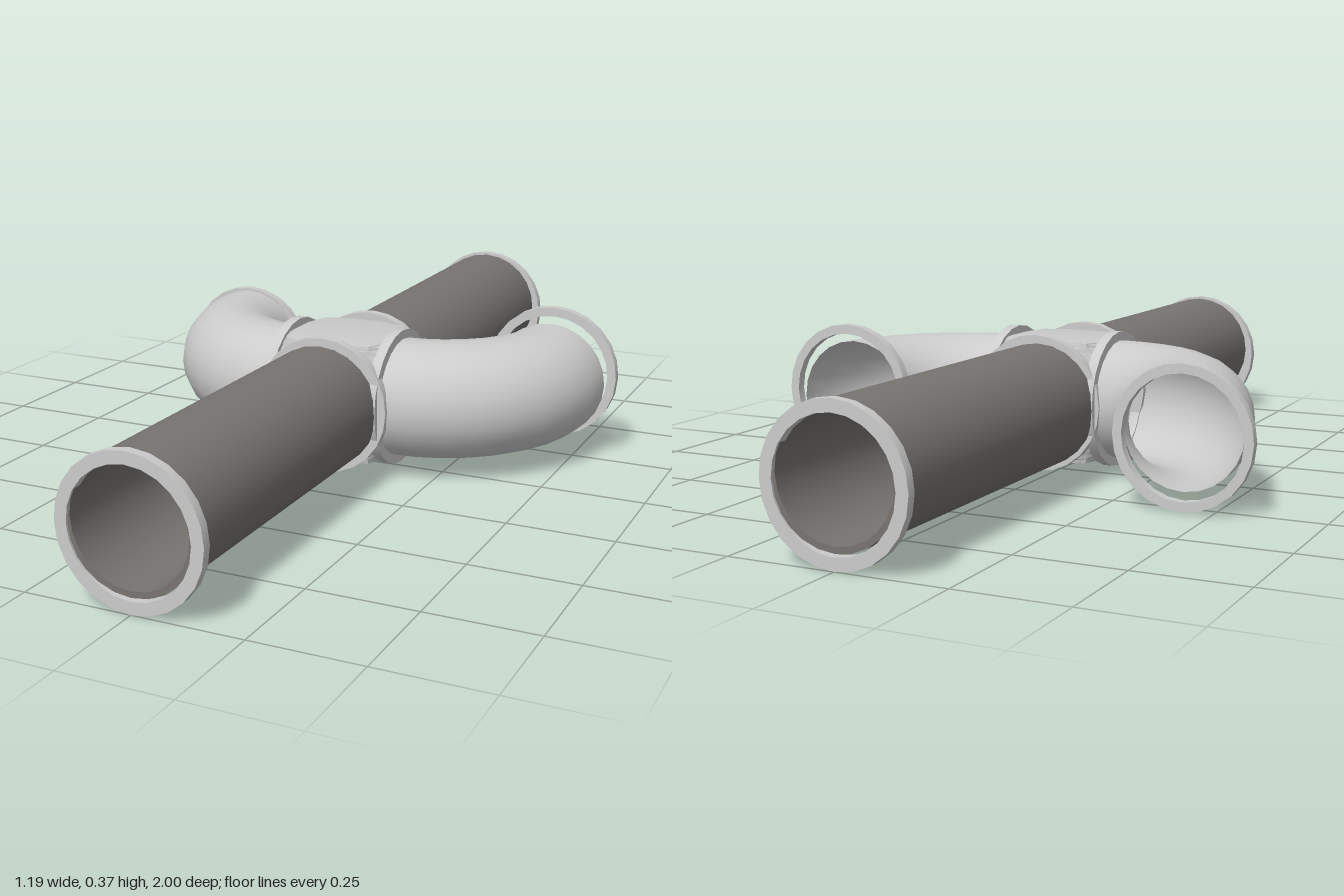
import * as THREE from 'three';
import { toCreasedNormals } from 'three/addons/utils/BufferGeometryUtils.js';

const grey = new THREE.MeshStandardMaterial({ color: 0xcccccc, side: THREE.DoubleSide });
const dark = new THREE.MeshStandardMaterial({ color: 0x777471, side: THREE.DoubleSide });

const HUB_Y = 0.185, HUB_Z = 0.02; // centre of the junction
const R = 0.145;                   // bore of the junction
const D = 0.137;                   // junction centre to its collars

// Hollow straight sleeve along z, centred on its own length
function sleeve(outer, inner, length, sides) {
  const h = length / 2;
  const profile = [[outer, -h], [outer, h], [inner, h], [inner, -h], [outer, -h]];
  const geometry = new THREE.LatheGeometry(profile.map(([x, y]) => new THREE.Vector2(x, y)), sides);
  return toCreasedNormals(geometry.rotateX(Math.PI / 2), 0.6);
}

// Four-way shell: flat top and bottom, corner walls running between round openings
function hubGeometry() {
  const positions = [];
  const steps = 8;
  const row = (i) => {
    const t = (i / steps) * Math.PI / 2;
    const s = R * Math.sin(t), y = R * Math.cos(t);
    const m = THREE.MathUtils.lerp(0.107, D, (i / steps) ** 2);
    return [[s, y, D], [m, y, m], [D, y, s]];
  };
  for (const sx of [1, -1]) for (const sy of [1, -1]) for (const sz of [1, -1]) {
    const tri = (a, b, c) => {
      const corners = sx * sy * sz > 0 ? [a, b, c] : [a, c, b];
      for (const [x, y, z] of corners) positions.push(x * sx, y * sy, z * sz);
    };
    const [a, m, b] = row(0);
    const centre = [0, R, 0];
    tri(centre, a, m);
    tri(centre, m, b);
    for (let i = 0; i < steps; i++) {
      const p = row(i), q = row(i + 1);
      for (let j = 0; j < 2; j++) {
        tri(p[j], q[j], q[j + 1]);
        tri(p[j], q[j + 1], p[j + 1]);
      }
    }
  }
  const geometry = new THREE.BufferGeometry();
  geometry.setAttribute('position', new THREE.Float32BufferAttribute(positions, 3));
  return toCreasedNormals(geometry, 0.5);
}

export function createModel() {
  const model = new THREE.Group();
  model.name = 'pipeJunction';

  const add = (name, geometry, material, x, y, z) => {
    const mesh = new THREE.Mesh(geometry, material);
    mesh.name = name;
    mesh.position.set(x, y, z);
    model.add(mesh);
    return mesh;
  };

  add('hub', hubGeometry(), grey, 0, HUB_Y, HUB_Z);

  // Straight pipes with their end flanges and hub collars
  const flange = sleeve(0.168, 0.14, 0.022, 24);
  const collar = sleeve(0.165, 0.138, 0.024, 24);
  for (const [side, sign] of [['front', 1], ['back', -1]]) {
    const start = HUB_Z + sign * D, end = sign * 0.995;
    add(side + 'Pipe', sleeve(0.148, 0.134, Math.abs(end - start), 24), dark,
      0, 0.182, (start + end) / 2);
    add(side + 'EndFlange', flange, grey, 0, 0.168, sign * 0.989);
    add(side + 'Collar', collar, grey, 0.005, HUB_Y, start);
  }

  // Elbows curving from the sides of the hub towards the back
  const bend = 0.29;
  const elbow = new THREE.TorusGeometry(bend, 0.143, 24, 8, Math.PI / 2).rotateX(Math.PI / 2);
  const elbowFlange = sleeve(0.165, 0.143, 0.022, 24);
  for (const [side, sign, flangeY, flangeZ] of [['left', 1, 0.205, -0.28], ['right', -1, 0.168, -0.287]]) {
    const pipe = add(side + 'Elbow', elbow, grey, sign * 0.135, HUB_Y, HUB_Z - bend);
    if (sign < 0) pipe.rotation.y = -Math.PI / 2;
    add(side + 'Collar', collar, grey, sign * D, HUB_Y, HUB_Z).rotation.y = Math.PI / 2;
    add(side + 'ElbowFlange', elbowFlange, grey, sign * 0.432, flangeY, flangeZ);
  }

  return model;
}
